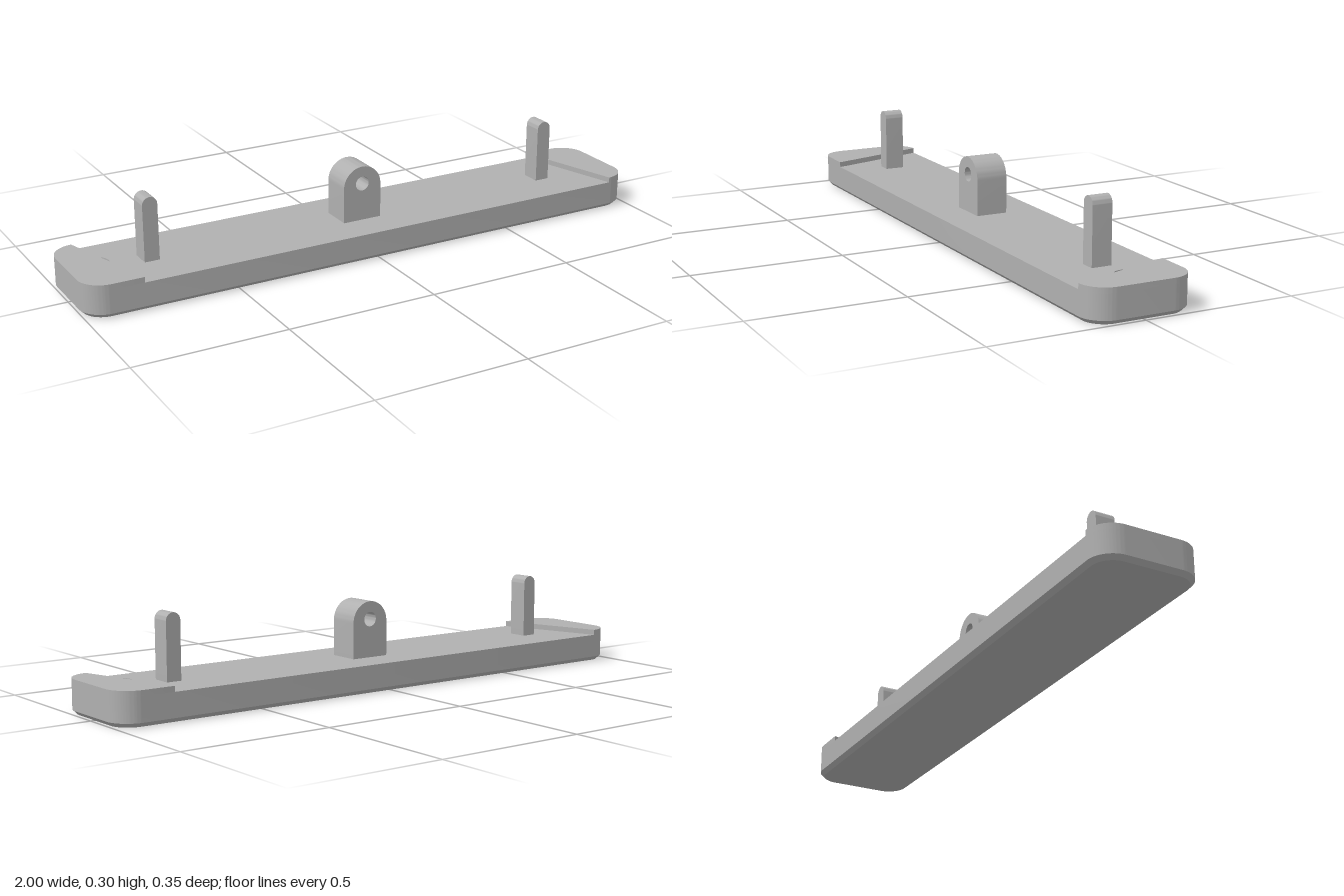
import * as THREE from 'three';
import { toCreasedNormals } from 'three/addons/utils/BufferGeometryUtils.js';

const HALF_X = 1, HALF_Z = 0.173, CORNER = 0.08, CHAMFER = 0.014;
const DECK_Y = 0.092, PAD_Y = 0.11, PAD_X = 0.815;

const grey = new THREE.MeshStandardMaterial({ color: 0xb0b0b0 });
grey.name = 'grey';

function addMesh(group, name, geometry) {
  const mesh = new THREE.Mesh(toCreasedNormals(geometry, 0.5), grey);
  mesh.name = name;
  group.add(mesh);
  return mesh;
}

const extrude = (shape, depth, steps = 1) =>
  new THREE.ExtrudeGeometry(shape, { depth, steps, bevelEnabled: false, curveSegments: 16 });

// Plan outline with rounded corners, in x and -z
function plateShape() {
  const s = new THREE.Shape();
  const x = HALF_X - CORNER, z = HALF_Z - CORNER, q = Math.PI / 2;
  s.absarc(x, z, CORNER, 0, q);
  s.absarc(-x, z, CORNER, q, 2 * q);
  s.absarc(-x, -z, CORNER, 2 * q, 3 * q);
  s.absarc(x, -z, CORNER, 3 * q, 4 * q);
  s.closePath();
  return s;
}

// Plate whose lowest ring is pulled in to form the bottom chamfer
function plateGeometry() {
  const g = extrude(plateShape(), DECK_Y, 2).rotateX(-Math.PI / 2);
  const p = g.attributes.position;
  const cx = HALF_X - CORNER, cz = HALF_Z - CORNER, k = 1 - CHAMFER / CORNER;
  for (let i = 0; i < p.count; i++) {
    const x = p.getX(i), y = p.getY(i), z = p.getZ(i);
    if (y < 0.001) {
      const ox = THREE.MathUtils.clamp(x, -cx, cx), oz = THREE.MathUtils.clamp(z, -cz, cz);
      p.setXYZ(i, ox + (x - ox) * k, 0, oz + (z - oz) * k);
    } else if (y < DECK_Y - 0.001) p.setY(i, CHAMFER);
  }
  return g;
}

// Raised end pad with a round recess down to the deck
function padGeometry(side) {
  const s = new THREE.Shape();
  const x = HALF_X - CORNER, z = HALF_Z - CORNER, q = Math.PI / 2;
  s.moveTo(PAD_X, -HALF_Z);
  s.absarc(x, -z, CORNER, -q, 0);
  s.absarc(x, z, CORNER, 0, q);
  s.lineTo(PAD_X, HALF_Z);
  s.closePath();
  s.holes.push(new THREE.Path().absarc(0.905, 0, 0.043, 0, 4 * q, true));
  const g = extrude(s, PAD_Y - DECK_Y).rotateX(-q);
  if (side < 0) g.rotateY(Math.PI);
  return g.translate(0, DECK_Y, 0);
}

// Upright tab with a fully rounded top, optionally pierced
function tabGeometry(halfX, top, halfZ, holeY, holeR) {
  const s = new THREE.Shape();
  s.moveTo(-halfX, DECK_Y);
  s.lineTo(halfX, DECK_Y);
  s.absarc(0, top - halfX, halfX, 0, Math.PI);
  s.closePath();
  if (holeR) s.holes.push(new THREE.Path().absarc(0, holeY, holeR, 0, Math.PI * 2, true));
  return extrude(s, 2 * halfZ).translate(0, 0, -halfZ);
}

export function createModel() {
  const model = new THREE.Group();
  model.name = 'mountingPlate';
  addMesh(model, 'basePlate', plateGeometry());
  addMesh(model, 'centreLug', tabGeometry(0.068, 0.277, 0.053, 0.218, 0.024));
  for (const side of [-1, 1]) {
    const label = side > 0 ? 'left' : 'right';
    addMesh(model, label + 'EndPad', padGeometry(side));
    addMesh(model, label + 'Pin', tabGeometry(0.025, 0.303, 0.033)).position.x = side * 0.733;
  }
  return model;
}
